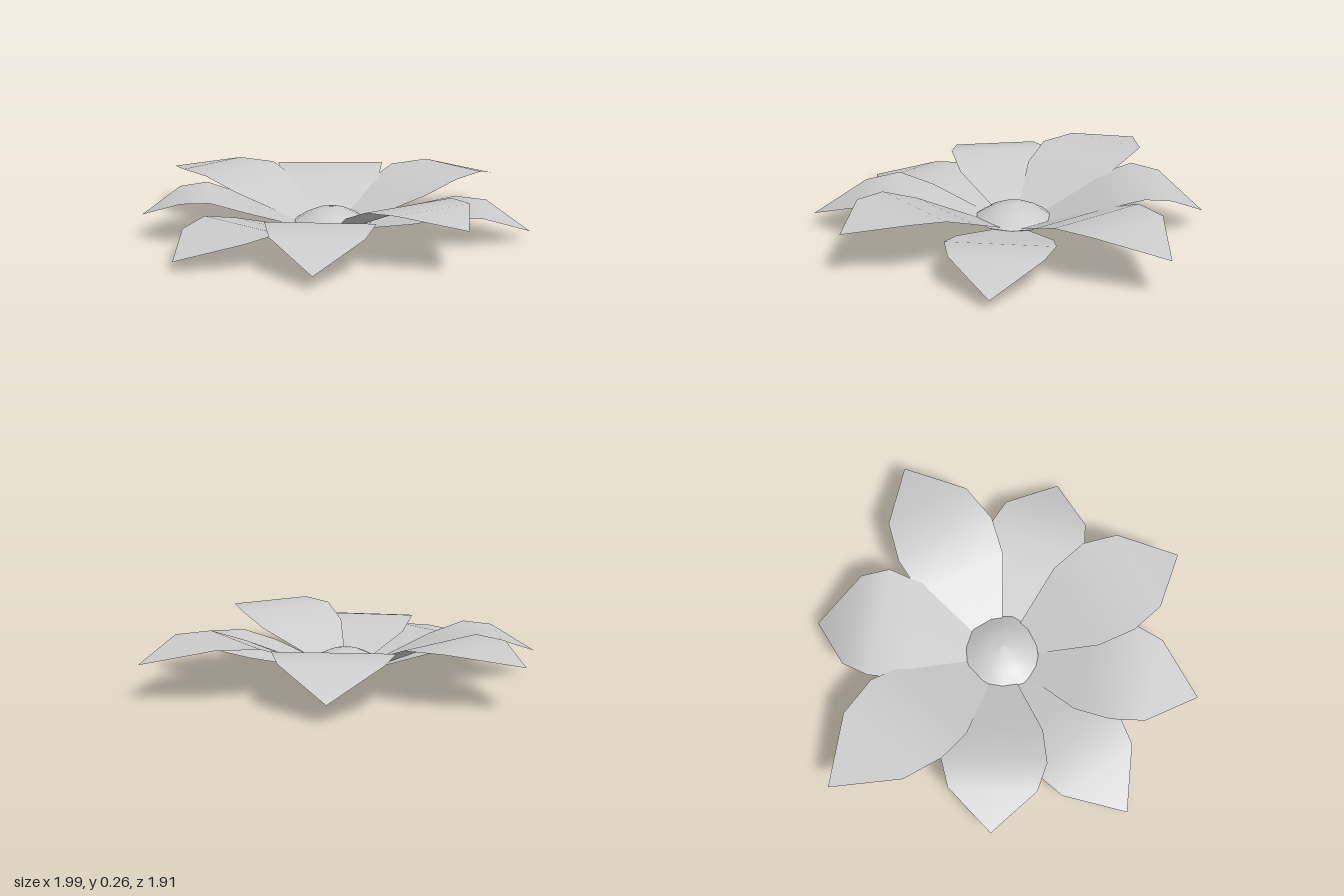
import * as THREE from 'three';

const CENTRE = { x: 0, z: -0.05 };

const material = new THREE.MeshStandardMaterial({ color: 0xcccccc, side: THREE.DoubleSide });

// Tip position (x, z) and heights at the inner, widest, shoulder and tip rows
const PETALS = [
  { tip: [-0.23, -0.96], y: [0.19, 0.245, 0.22, 0.085], w: 1.08 },
  { tip: [0.70, -0.90], y: [0.18, 0.245, 0.255, 0.18], w: 1 },
  { tip: [0.99, -0.15], y: [0.115, 0.155, 0.15, 0.045], w: 0.98 },
  { tip: [0.79, 0.59], y: [0.19, 0.255, 0.265, 0.21], w: 1 },
  { tip: [0.17, 0.95], y: [0.145, 0.2, 0.17, 0.06], w: 0.98 },
  { tip: [-0.51, 0.84], y: [0.115, 0.15, 0.125, 0.05], w: 0.98 },
  { tip: [-0.88, 0.28], y: [0.165, 0.225, 0.215, 0.12], w: 0.97 },
  { tip: [-1.00, -0.51], y: [0.19, 0.255, 0.26, 0.21], w: 1 },
];

// Thin petal running along +z: rows of three points closing in a single tip
function petalGeometry(length, y, w) {
  const rows = [
    [0.08, 0.03, 0.05],
    [0.43, y[0], 0.235 * w],
    [0.61, y[1], 0.263 * w],
    [0.61 + (length - 0.61) * 0.42, y[2], 0.22 * w],
  ];
  const positions = [];
  for (const [r, h, half] of rows) {
    for (const side of [-1, 0, 1]) positions.push(side * half, h, r);
  }
  positions.push(0, y[3], length);

  const index = [];
  for (let i = 0; i < rows.length - 1; i++) {
    for (let j = 0; j < 2; j++) {
      const a = i * 3 + j, b = a + 3;
      index.push(a, b, a + 1, b, b + 1, a + 1);
    }
  }
  const last = (rows.length - 1) * 3, tip = last + 3;
  index.push(last, tip, last + 1, last + 1, tip, last + 2);

  const geometry = new THREE.BufferGeometry();
  geometry.setAttribute('position', new THREE.Float32BufferAttribute(positions, 3));
  geometry.setIndex(index);
  geometry.computeVertexNormals();
  return geometry;
}

function lathe(name, profile) {
  const points = profile.map(([r, y]) => new THREE.Vector2(r, y));
  const mesh = new THREE.Mesh(new THREE.LatheGeometry(points, 11), material);
  mesh.name = name;
  return mesh;
}

export function createModel() {
  const flower = new THREE.Group();
  flower.name = 'flower';

  // Ring of petals
  const petals = new THREE.Group();
  petals.name = 'petals';
  PETALS.forEach(({ tip, y, w }, i) => {
    const dx = tip[0] - CENTRE.x, dz = tip[1] - CENTRE.z;
    const petal = new THREE.Mesh(petalGeometry(Math.hypot(dx, dz), y, w), material);
    petal.name = `petal${i + 1}`;
    petal.rotation.y = Math.atan2(dx, dz);
    petals.add(petal);
  });
  flower.add(petals);

  // Flower centre: shallow cup below, low dome above
  const heart = new THREE.Group();
  heart.name = 'flowerCentre';
  heart.add(lathe('cup', [[0, 0], [0.08, 0], [0.2, 0.06]]));
  heart.add(lathe('dome', [[0.2, 0.06], [0.13, 0.105], [0.07, 0.13], [0, 0.14]]));
  flower.add(heart);

  petals.position.set(CENTRE.x, 0, CENTRE.z);
  heart.position.set(CENTRE.x + 0.005, 0, CENTRE.z + 0.005);
  return flower;
}
